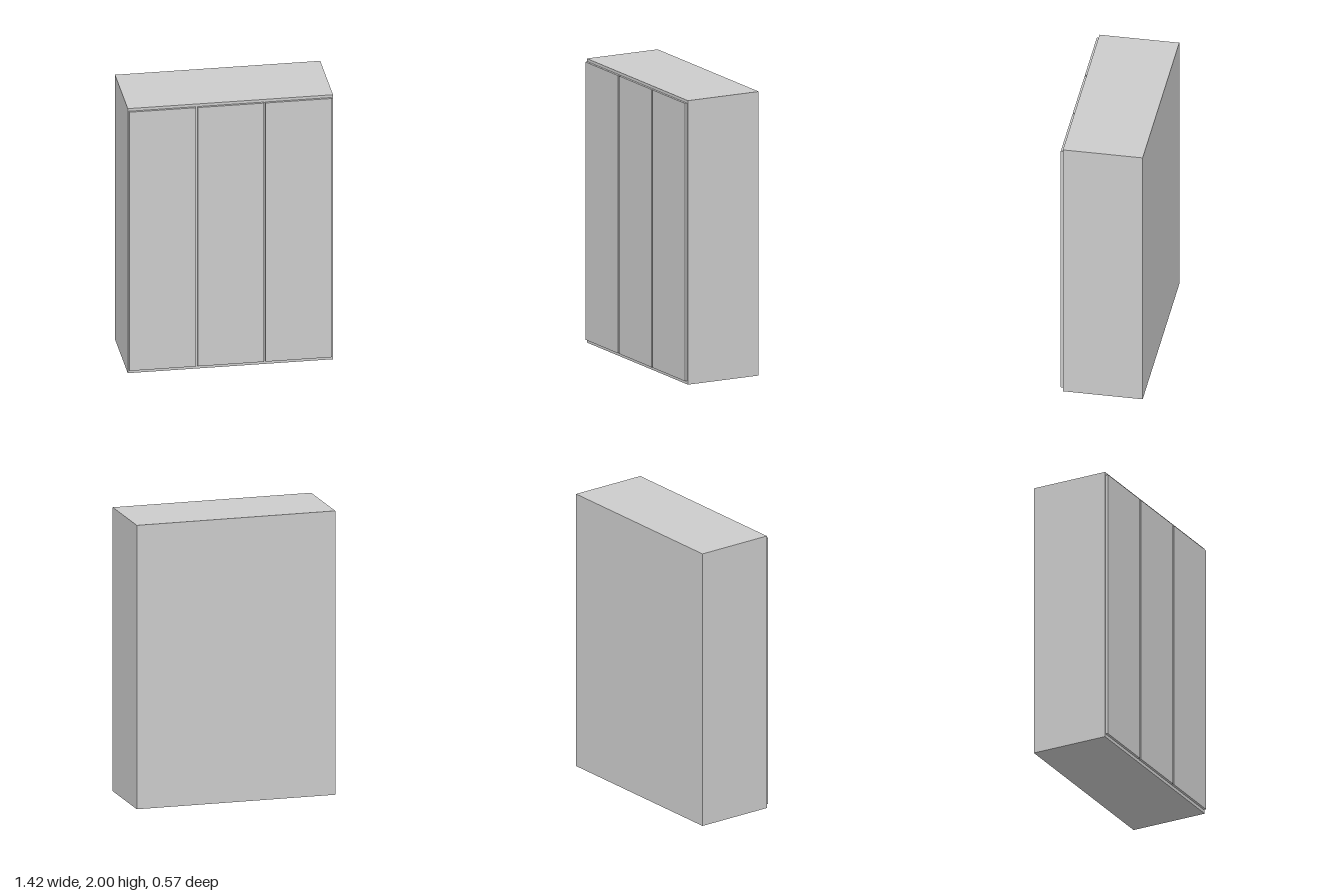
import * as THREE from 'three';

export function createModel() {
  const group = new THREE.Group();
  const material = new THREE.MeshStandardMaterial({ color: 0xcccccc });

  // Box given by its lower and upper limits on each axis
  function addBox(name, [x0, x1], [y0, y1], [z0, z1]) {
    const mesh = new THREE.Mesh(new THREE.BoxGeometry(x1 - x0, y1 - y0, z1 - z0), material);
    mesh.position.set((x0 + x1) / 2, (y0 + y1) / 2, (z0 + z1) / 2);
    mesh.name = name;
    group.add(mesh);
  }

  // Wardrobe body
  addBox('cabinetBody', [-0.712, 0.712], [0, 2], [-0.286, 0.269]);

  // Three flat doors on the front, with narrow gaps between them
  const doors = {
    rightDoor: [-0.703, -0.243],
    middleDoor: [-0.229, 0.231],
    leftDoor: [0.241, 0.701],
  };
  for (const [name, span] of Object.entries(doors)) {
    addBox(name, span, [0.024, 1.98], [0.269, 0.286]);
  }

  return group;
}
